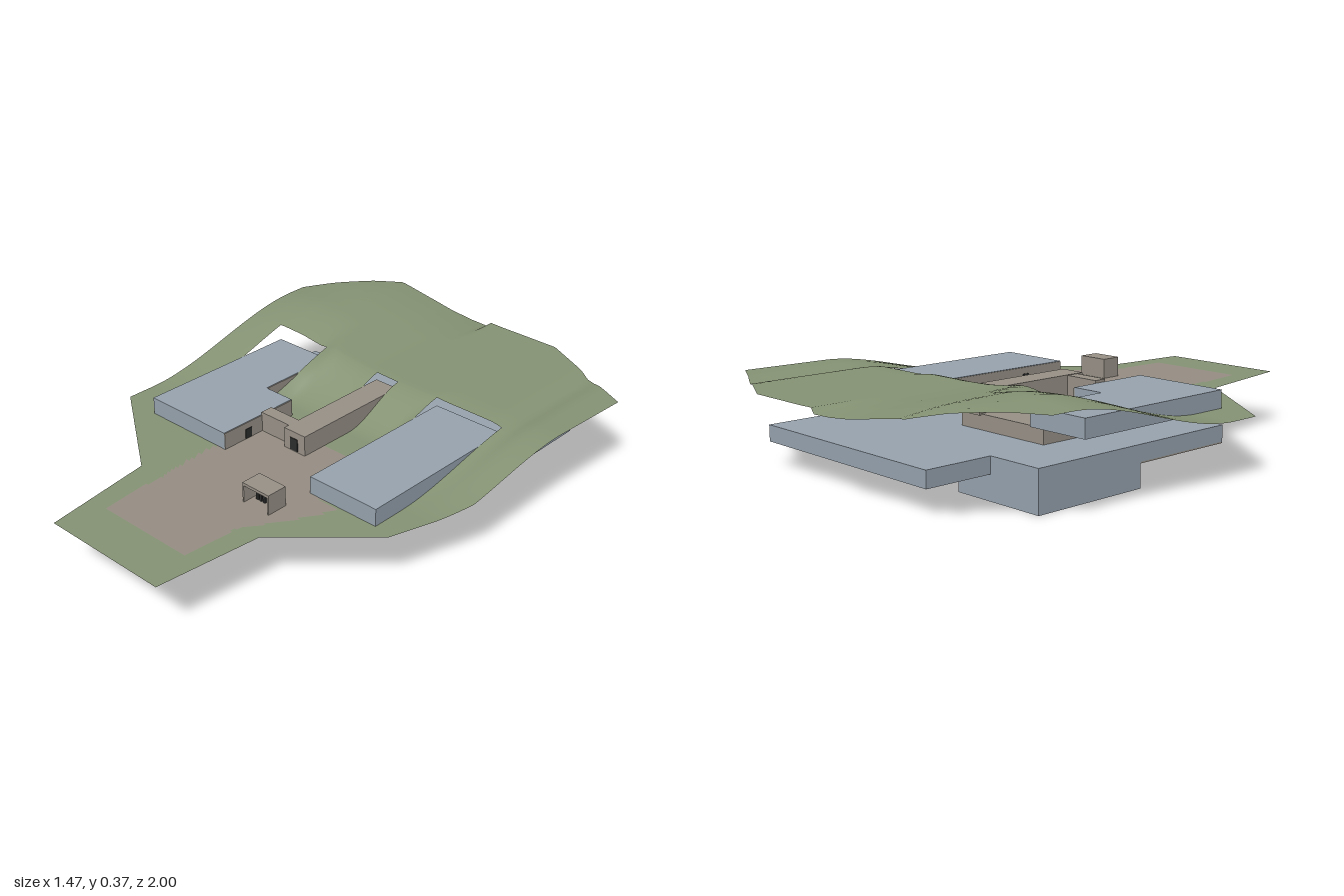
import * as THREE from 'three';

const material = (name, color, side = THREE.FrontSide) => {
  const m = new THREE.MeshStandardMaterial({ color, side });
  m.name = name;
  return m;
};

// Piecewise-linear lookup through [input, output] pairs
function lookup(pairs, t) {
  for (let i = 1; i < pairs.length; i++) {
    const [a, va] = pairs[i - 1], [b, vb] = pairs[i];
    if (t <= b) return va + (vb - va) * Math.max(0, (t - a) / (b - a));
  }
  return pairs[pairs.length - 1][1];
}

// Breakpoints filled in with evenly spaced steps
function subdivide(breaks, step) {
  const out = [breaks[0]];
  for (let i = 1; i < breaks.length; i++) {
    const a = breaks[i - 1], b = breaks[i], n = Math.ceil((b - a) / step);
    for (let k = 1; k <= n; k++) out.push(a + (b - a) * k / n);
  }
  return out;
}

const LEFT_EDGE = [[-1, -0.47], [-0.67, -0.735], [0.28, -0.735], [0.575, -0.32], [1, -0.255]];
const RIGHT_EDGE = [[-1, 0.31], [-0.79, 0.73], [0, 0.69], [0.32, 0.59], [0.6, 0.29], [1, 0.25]];
const HILL = [[-0.735, 0.145], [-0.65, 0.158], [-0.55, 0.165], [-0.45, 0.16], [-0.3, 0.135],
  [-0.2, 0.118], [-0.1, 0.108], [0.05, 0.103], [0.73, 0.1]];
const PLAZA_RIGHT = [[0.3, 0.23], [0.31, 0.36], [0.4, 0.33], [0.5, 0.27], [0.62, 0.2], [0.83, 0.19]];

// Footprints cut out of the ground: [x0, x1, z0, z1]
const HOLES = [[-0.57, -0.32, -0.37, 0.3], [-0.32, -0.19, -0.04, 0.3], [0.23, 0.52, -0.37, 0.3],
  [-0.05, 0.05, -0.36, 0.14], [-0.19, -0.05, 0.065, 0.115]];

// Flat at the front, rising into a hill at the back with a courtyard dent
function groundHeight(x, z) {
  const yard = THREE.MathUtils.smoothstep(x, -0.36, -0.26) * (1 - THREE.MathUtils.smoothstep(x, 0.2, 0.27));
  const start = THREE.MathUtils.lerp(0.17, -0.09, yard);
  const end = THREE.MathUtils.lerp(x < 0 ? -0.6 : -0.46, -0.38, yard);
  const rise = 1 - THREE.MathUtils.smoothstep(z, end, start);
  const back = Math.max(0, (-z - 0.7) / 0.3) ** 2;
  const hill = lookup(HILL, x);
  const trough = 0.016 * Math.exp(-(((x - 0.55) / 0.04) ** 2));
  return 0.21 + rise * (hill - trough - (x < 0 ? 0.02 * back : 0));
}

function isPlaza(x, z) {
  if (z < 0.04 || z > 0.83) return false;
  return x > (z < 0.3 ? -0.19 : -0.235 + (z - 0.3) * 0.06) && x < lookup(PLAZA_RIGHT, z);
}

function groundGeometry() {
  const cols = subdivide([-0.735, -0.57, -0.32, -0.19, -0.05, 0.05, 0.23, 0.52, 0.73], 0.025);
  const rows = subdivide([-1, -0.79, -0.67, -0.37, -0.36, -0.04, 0.04, 0.065, 0.115, 0.14, 0.28,
    0.3, 0.32, 0.575, 0.6, 0.83, 1], 0.02);
  const pos = [], grass = [], paving = [], n = cols.length;
  for (const z of rows) {
    const l = lookup(LEFT_EDGE, z), r = lookup(RIGHT_EDGE, z);
    const middle = z > -0.3701 && z < 0.3001;
    for (const c of cols) {
      let x = c < 0 ? c * l / -0.735 : c * r / 0.73;
      if (middle) {
        x = c;
        if (c > 0.52) x = 0.52 + (c - 0.52) / 0.21 * (r - 0.52);
        if (c < -0.57) x = -0.57 + (c + 0.57) / -0.165 * (l + 0.57);
      }
      pos.push(x, groundHeight(x, z), z);
    }
  }
  for (let j = 0; j < rows.length - 1; j++) {
    for (let i = 0; i < n - 1; i++) {
      const cx = (cols[i] + cols[i + 1]) / 2, cz = (rows[j] + rows[j + 1]) / 2;
      if (HOLES.some(([x0, x1, z0, z1]) => cx > x0 && cx < x1 && cz > z0 && cz < z1)) continue;
      const a = j * n + i, c = a + n;
      const mx = (pos[a * 3] + pos[(a + 1) * 3] + pos[c * 3] + pos[(c + 1) * 3]) / 4;
      (isPlaza(mx, cz) ? paving : grass).push(a, c, a + 1, a + 1, c, c + 1);
    }
  }
  const g = new THREE.BufferGeometry();
  g.setAttribute('position', new THREE.Float32BufferAttribute(pos, 3));
  g.setIndex([...grass, ...paving]);
  g.addGroup(0, grass.length, 0);
  g.addGroup(grass.length, paving.length, 1);
  g.computeVertexNormals();
  return g;
}

export function createModel() {
  const model = new THREE.Group();
  model.name = 'hillsideBuilding';
  const glass = material('blueGrey', 0x96a2ad);
  const stone = material('stone', 0x979086);
  const dark = material('dark', 0x2b2d2c);
  const grass = material('grass', 0x859273, THREE.DoubleSide);
  const paving = material('paving', 0x958d83, THREE.DoubleSide);

  const add = (name, geometry, mat) => {
    const mesh = new THREE.Mesh(geometry, mat);
    mesh.name = name;
    model.add(mesh);
    return mesh;
  };
  const box = (name, mat, x0, x1, y0, y1, z0, z1) => {
    const mesh = add(name, new THREE.BoxGeometry(x1 - x0, y1 - y0, z1 - z0), mat);
    mesh.position.set((x0 + x1) / 2, (y0 + y1) / 2, (z0 + z1) / 2);
    return mesh;
  };

  // Ground sheet with plaza
  add('ground', groundGeometry(), [grass, paving]);

  // Upper L-shaped wing on the -x side
  const wing = new THREE.Shape([[-0.57, 0.37], [-0.57, -0.3], [-0.19, -0.3], [-0.19, 0.04],
    [-0.32, 0.04], [-0.32, 0.37]].map(([x, y]) => new THREE.Vector2(x, y)));
  const wingMesh = add('upperWing', new THREE.ExtrudeGeometry(wing, { depth: 0.069, bevelEnabled: false }), glass);
  wingMesh.rotation.x = -Math.PI / 2;
  wingMesh.position.y = 0.207;

  // Upper hall on the +x side
  box('upperHall', glass, 0.23, 0.52, 0.207, 0.276, -0.37, 0.3);

  // Courtyard wall facings and doors
  box('wingFacing', stone, -0.191, -0.187, 0.207, 0.274, -0.04, 0.3);
  box('wingYardFacing', stone, -0.321, -0.317, 0.207, 0.274, -0.37, -0.04);
  box('hallFacing', stone, 0.227, 0.231, 0.207, 0.274, -0.37, 0.3);
  box('wingDoor', dark, -0.188, -0.184, 0.212, 0.25, 0.17, 0.2);
  box('hallDoor', dark, 0.224, 0.228, 0.212, 0.25, 0.1, 0.13);

  // Corridor, link and entrance
  box('corridor', stone, -0.05, 0.05, 0.2, 0.288, -0.355, 0.14);
  box('link', stone, -0.19, -0.05, 0.2, 0.286, 0.065, 0.115);
  box('entranceDoor', dark, -0.02, 0.016, 0.214, 0.262, 0.139, 0.143);

  // Lower floors
  box('core', stone, -0.36, 0.05, 0.085, 0.206, -0.35, 0.145);
  box('lowerHall', glass, -0.35, 0.52, 0.09, 0.15, -0.83, -0.11);
  box('lowerWing', glass, -0.57, -0.19, 0.09, 0.15, -0.57, 0.31);
  box('lowerWingFloor', stone, -0.57, -0.19, 0.085, 0.09, -0.11, 0.31);
  box('basement', glass, -0.57, -0.19, 0, 0.09, -0.57, -0.11);

  // Curved footing under the front of the hall
  const footing = new THREE.Shape();
  footing.moveTo(0.2, 0.209);
  footing.quadraticCurveTo(0.3, 0.2, 0.35, 0.184);
  footing.quadraticCurveTo(0.42, 0.19, 0.48, 0.209);
  add('footing', new THREE.ExtrudeGeometry(footing, { depth: 0.005, bevelEnabled: false }), stone).position.z = 0.305;

  // Plaza shelter, open at the front
  box('shelterRoof', stone, 0.1, 0.222, 0.274, 0.285, 0.41, 0.49);
  box('shelterBack', stone, 0.1, 0.222, 0.21, 0.275, 0.41, 0.416);
  for (const x of [0.1, 0.216]) box('shelterSide', stone, x, x + 0.006, 0.21, 0.275, 0.41, 0.49);
  for (const [x, h] of [[0.122, 0.036], [0.138, 0.042], [0.154, 0.036], [0.185, 0.014], [0.198, 0.022]]) {
    box('shelterFitting', dark, x, x + 0.01, 0.211, 0.211 + h, 0.43, 0.45);
  }
  return model;
}
